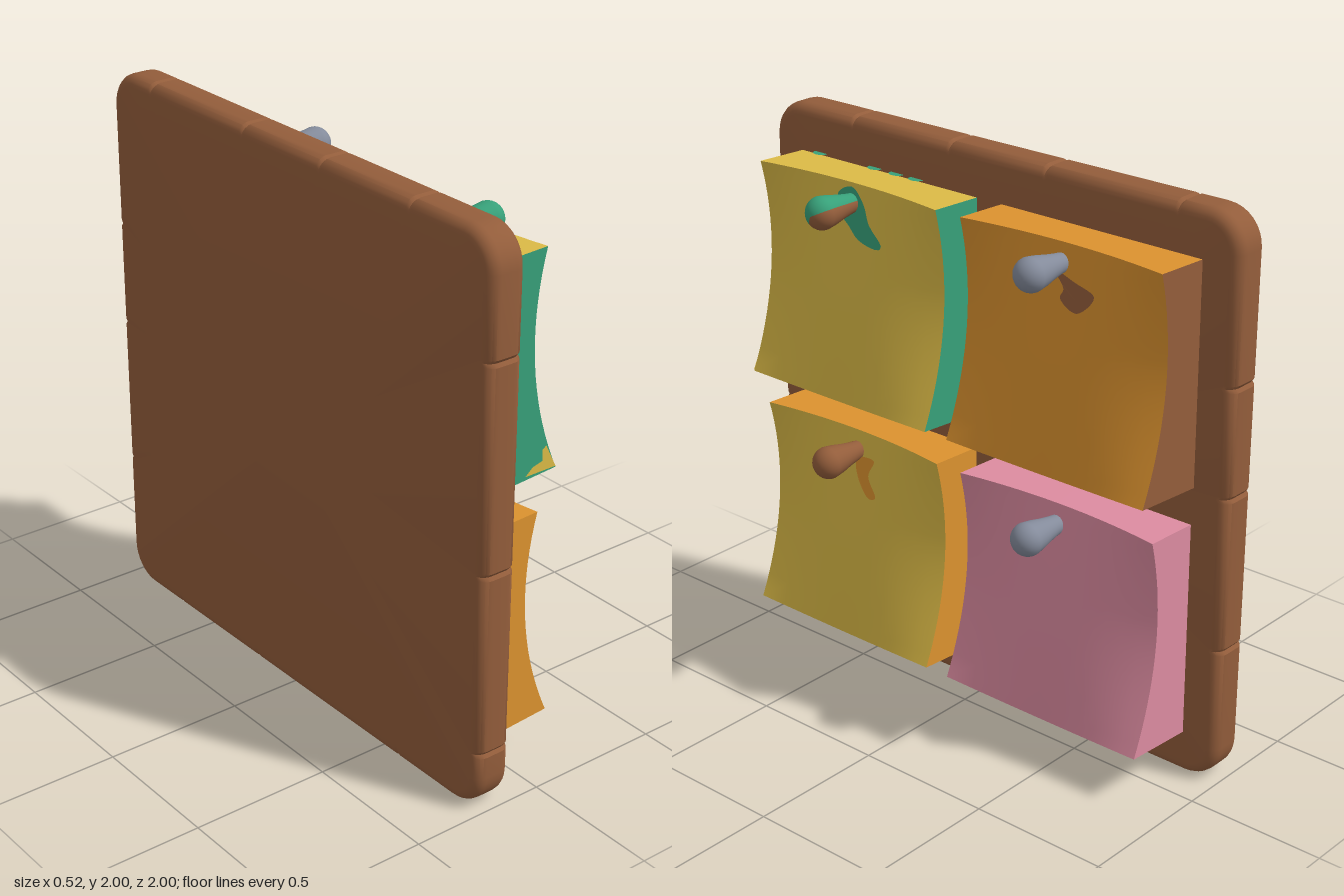
import * as THREE from 'three';
import { toCreasedNormals } from 'three/addons/utils/BufferGeometryUtils.js';

const mat = (name, color, side = THREE.FrontSide) => {
  const m = new THREE.MeshStandardMaterial({ color, side });
  m.name = name;
  return m;
};

// Rounded square board with small chipped seams around its rim
function boardGeometry() {
  const r = 0.13, core = 1 - r, groove = 0.009, outline = [];
  // seam offsets along the +z, top, -z and bottom sides
  const seams = [[-0.78, -0.13, 0.59], [-0.62, -0.18, 0.23, 0.76], [-0.43, -0.05, 0.5], [-0.68, -0.2, 0.59]];
  seams.forEach((list, side) => {
    const a = side * Math.PI / 2, n = [Math.cos(a), Math.sin(a)], t = [-n[1], n[0]];
    for (const s of list) for (const [ds, cut] of [[-0.012, 0], [0, groove], [0.012, 0]]) {
      const along = s + ds;
      outline.push({ z: n[0] + t[0] * along, y: n[1] + t[1] * along, n, cut });
    }
    for (let i = 0; i <= 8; i++) {
      const b = a + i / 8 * Math.PI / 2, m = [Math.cos(b), Math.sin(b)];
      outline.push({ z: (n[0] + t[0]) * core + m[0] * r, y: (n[1] + t[1]) * core + m[1] * r, n: m, cut: 0 });
    }
  });
  // rounded edge section: [x, inset]
  const e = 0.04, section = [];
  for (let i = 0; i <= 5; i++) {
    const a = i / 5 * Math.PI / 2;
    section.push([-0.26 + e * (1 - Math.sin(a)), e * (1 - Math.cos(a))]);
  }
  section.reverse();
  section.sort((p, q) => p[0] - q[0]);
  const rings = [...section, ...section.map(([x, d]) => [-0.38 - x, d]).reverse()];
  const pos = [], index = [], N = outline.length;
  for (const [x, d] of rings)
    for (const p of outline) pos.push(x, 1 + p.y - p.n[1] * (d + p.cut), p.z - p.n[0] * (d + p.cut));
  const back = rings.length * N, front = back + 1, last = (rings.length - 1) * N;
  pos.push(-0.26, 1, 0, -0.12, 1, 0);
  for (let i = 0; i < N; i++) {
    const j = (i + 1) % N;
    for (let k = 0; k < rings.length - 1; k++) {
      const a = k * N, b = a + N;
      index.push(a + i, b + i, a + j, a + j, b + i, b + j);
    }
    index.push(back, i, j, front, last + j, last + i);
  }
  const g = new THREE.BufferGeometry();
  g.setAttribute('position', new THREE.Float32BufferAttribute(pos, 3));
  g.setIndex(index);
  return toCreasedNormals(g, 0.6);
}

// Curled front of a note: t runs down from the top edge, s across from -1 to 1
function curl(t, s) {
  const edge = 0.085 - 0.213 * t + 0.278 * t * t;
  const middle = 0.05 + 0.14 * t - 0.037 * t * t;
  return THREE.MathUtils.lerp(middle, edge, s * s);
}

const NOTE_W = 0.815, NOTE_H = 0.78;

function noteGeometry(zc, yTop) {
  const g = new THREE.BoxGeometry(1, 1, 1, 1, 18, 14), p = g.attributes.position;
  for (let i = 0; i < p.count; i++) {
    const t = 0.5 - p.getY(i), s = p.getZ(i) * 2, isFront = p.getX(i) > 0;
    const x = isFront ? curl(t, s) : -0.125;
    const lift = isFront ? 0.018 * t : -0.008 * (1 - t);
    p.setXYZ(i, x, yTop - t * NOTE_H + lift, zc + s * (NOTE_W / 2) * (0.992 + 0.012 * t));
  }
  g.computeVertexNormals();
  return g;
}

// Thin painted patch laid on a note's curled face; points are [z, y]
function patchGeometry(points, zc, yTop) {
  const curve = new THREE.CatmullRomCurve3(points.map(([z, y]) => new THREE.Vector3(-z, y, 0)), true);
  const shape = new THREE.Shape(curve.getPoints(36).map(v => new THREE.Vector2(v.x, v.y)));
  const g = new THREE.ShapeGeometry(shape).rotateY(Math.PI / 2), p = g.attributes.position;
  for (let i = 0; i < p.count; i++) {
    const t = (yTop - p.getY(i)) / NOTE_H, s = (p.getZ(i) - zc) / (NOTE_W / 2);
    p.setX(i, curl(t, s) + 0.007);
  }
  g.computeVertexNormals();
  return g;
}

// Peg lying along +x, thicker at its round tip
function pegGeometry(start = 0, length = Math.PI * 2, grow = 0, baseOnly = false) {
  const pts = [[0.03, 0], [0.036, 0.05], [0.043, 0.09], [0.052, 0.13]];
  if (!baseOnly) {
    for (let i = 0; i <= 8; i++) {
      const a = i / 8 * Math.PI / 2;
      pts.push([0.058 * Math.cos(a), 0.17 + 0.055 * Math.sin(a)]);
    }
  }
  const profile = pts.map(([r, y]) => new THREE.Vector2(r + grow, y));
  return new THREE.LatheGeometry(profile, 24, start, length).rotateZ(-Math.PI / 2);
}

export function createModel() {
  const model = new THREE.Group();
  model.name = 'noteBoard';
  const brown = mat('brown wood', 0x935d3b, THREE.DoubleSide);
  const yellow = mat('yellow paper', 0xdbba46, THREE.DoubleSide);
  const orange = mat('orange paper', 0xdb922f, THREE.DoubleSide);
  const pink = mat('pink paper', 0xdc8ba0);
  const teal = mat('teal paint', 0x37a079, THREE.DoubleSide);
  const grey = mat('grey metal', 0x848b9b);
  const add = (name, geometry, material) => {
    const mesh = new THREE.Mesh(geometry, material);
    mesh.name = name;
    model.add(mesh);
    return mesh;
  };

  add('board', boardGeometry(), brown);

  // Notes: face materials in the order front, back, top, bottom, left, right
  const top = 1.842, low = 0.938, zc = 0.4575;
  const notes = [
    ['upperYellowNote', zc, top, [yellow, yellow, yellow, teal, teal, teal]],
    ['upperOrangeNote', -zc, top, [orange, orange, orange, brown, orange, brown]],
    ['lowerYellowNote', zc, low, [yellow, yellow, orange, yellow, orange, orange]],
    ['lowerPinkNote', -zc, low, [pink, pink, pink, pink, pink, pink]],
  ];
  for (const [name, z, y, mats] of notes) add(name, noteGeometry(z, y), mats);

  // Paint around the pegs
  add('tealPatch', patchGeometry([[0.51, 1.8], [0.45, 1.83], [0.39, 1.78], [0.36, 1.72], [0.3, 1.66],
    [0.31, 1.645], [0.4, 1.66], [0.45, 1.7], [0.5, 1.74]], zc, top), teal);
  add('brownPatch', patchGeometry([[-0.44, 1.75], [-0.52, 1.73], [-0.6, 1.7], [-0.54, 1.635],
    [-0.47, 1.67], [-0.48, 1.7]], -zc, top), brown);
  add('orangePatch', patchGeometry([[0.44, 0.84], [0.36, 0.85], [0.38, 0.79], [0.34, 0.72],
    [0.37, 0.71], [0.43, 0.78]], zc, low), orange);

  // Yellow wear at the lower corner of the teal side
  const wear = new THREE.Shape([[0.02, 1.085], [0.148, 1.085], [0.125, 1.13], [0.105, 1.17], [0.09, 1.16],
    [0.09, 1.12], [0.05, 1.11]].map(p => new THREE.Vector2(...p)));
  add('cornerWear', new THREE.ShapeGeometry(wear).translate(0, 0, zc + NOTE_W / 2 + 0.004), yellow);

  // Teal drips along the back of the top edge
  for (const z of [0.32, 0.41, 0.51, 0.77]) {
    const drip = new THREE.CircleGeometry(0.03, 14).rotateX(-Math.PI / 2).scale(0.8, 1, 1);
    add('tealDrip', drip.translate(-0.116, top + 0.001, z), teal);
  }

  // Pegs
  const place = (mesh, y, z) => mesh.position.set(0.036, y, z);
  const tealStart = -Math.PI * 0.85, tealSpan = Math.PI * 1.2;
  place(add('upperLeftPegPaint', pegGeometry(tealStart, tealSpan), teal), 1.775, 0.45);
  place(add('upperLeftPeg', pegGeometry(tealStart + tealSpan, Math.PI * 2 - tealSpan), brown), 1.775, 0.45);
  place(add('lowerLeftPeg', pegGeometry(), brown), 0.865, 0.45);
  place(add('lowerLeftPegPaint', pegGeometry(-0.8, 2, 0.002, true), orange), 0.865, 0.45);
  place(add('upperRightPeg', pegGeometry(), grey), 1.775, -0.45);
  place(add('lowerRightPeg', pegGeometry(), grey), 0.865, -0.45);
  return model;
}
